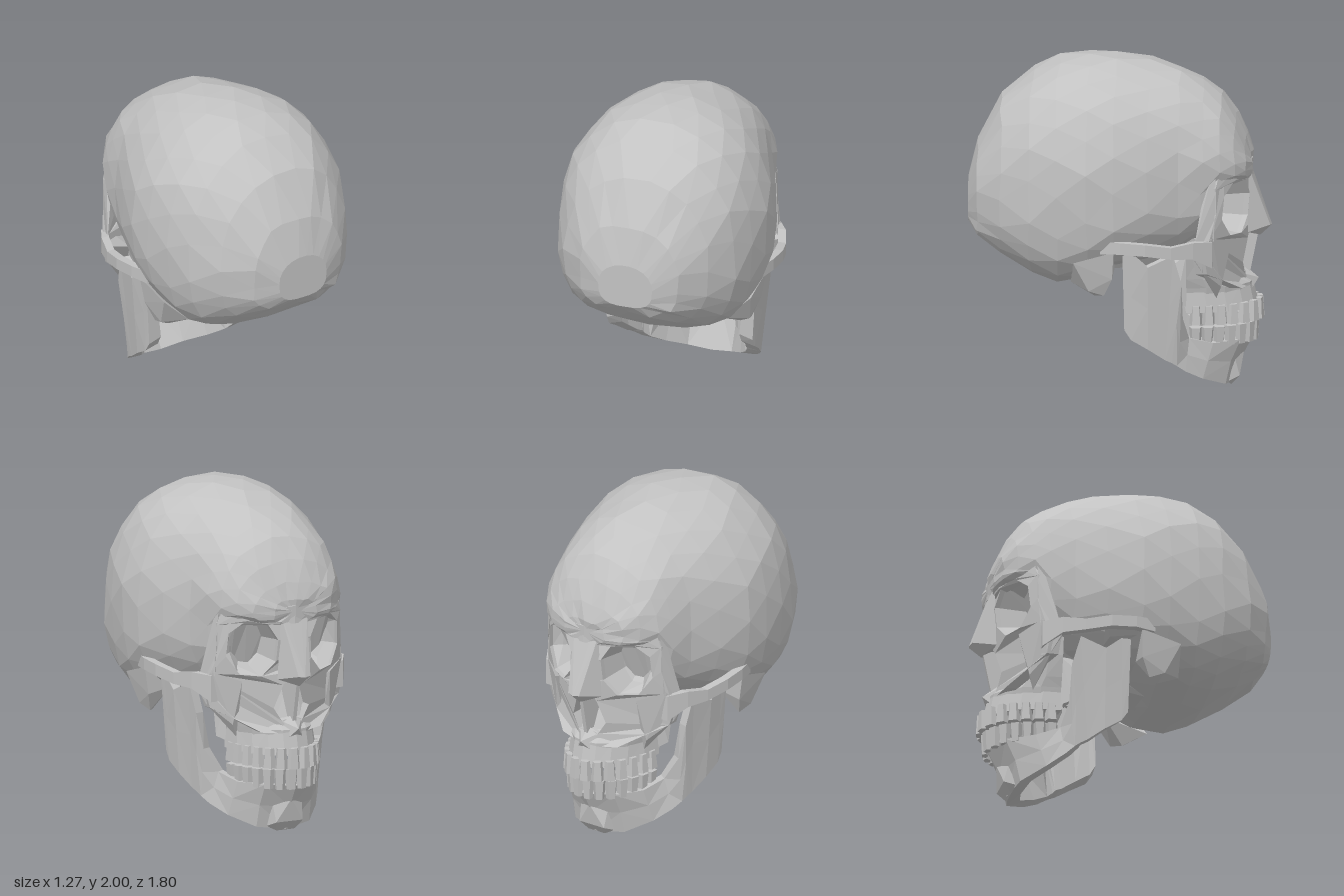
import * as THREE from 'three';
import { ConvexGeometry } from 'three/addons/geometries/ConvexGeometry.js';

const bone = new THREE.MeshStandardMaterial({ color: 0xc2c2c2, flatShading: true, side: THREE.DoubleSide });
bone.name = 'bone';

// Skin a list of equal-length rings of [x, y, z], with optional end caps
function loft(rings, capStart = true, capEnd = true) {
  const n = rings[0].length, pos = rings.flat(2), idx = [];
  for (let i = 0; i < rings.length - 1; i++) {
    for (let j = 0; j < n; j++) {
      const a = i * n + j, b = i * n + (j + 1) % n, c = a + n, d = b + n;
      if (i % 2) idx.push(a, c, d, a, d, b);
      else idx.push(a, c, b, b, c, d);
    }
  }
  const cap = (r, flip) => {
    const k = pos.length / 3;
    for (let q = 0; q < 3; q++) pos.push(rings[r].reduce((s, p) => s + p[q], 0) / n);
    for (let j = 0; j < n; j++) {
      const a = r * n + j, b = r * n + (j + 1) % n;
      idx.push(k, flip ? b : a, flip ? a : b);
    }
  };
  if (capStart) cap(0, false);
  if (capEnd) cap(rings.length - 1, true);
  const g = new THREE.BufferGeometry();
  g.setAttribute('position', new THREE.Float32BufferAttribute(pos, 3));
  g.setIndex(idx);
  const flat = g.toNonIndexed();
  flat.computeVertexNormals();
  return flat;
}

const hull = (pts) => new ConvexGeometry(pts.map((p) => new THREE.Vector3(...p)));
const mirrorLine = (half) => [...half, ...half.filter((p) => p[0] > 0).reverse().map(([x, ...r]) => [-x, ...r])];

function lerpTable(table, v) {
  if (v <= table[0][0]) return table[0][1];
  for (let i = 1; i < table.length; i++) {
    const [a, p] = table[i - 1], [b, q] = table[i];
    if (v <= b) return p + (q - p) * (v - a) / (b - a);
  }
  return table[table.length - 1][1];
}

// Front surface of the face, curving back towards the sides
const faceProfile = [[0.6, -0.78], [0.7, -0.74], [0.95, -0.77], [1.2, -0.785], [1.45, -0.765]];
const faceZ = (x, y) => lerpTable(faceProfile, y) + 1.12 * x * x;

const orbit = [[0.11, 1.18], [0.17, 1.28], [0.28, 1.3], [0.37, 1.22], [0.38, 1.08], [0.31, 0.97], [0.2, 0.96], [0.12, 1.05]];

function craniumGeometry() {
  let seed = 7;
  const rnd = () => ((seed = (seed * 16807) % 2147483647) / 2147483647 - 0.5) * 0.018;
  // z, half width, top, bottom, height of widest line
  const sections = [
    [0.9, 0.17, 1.26, 0.99, 1.12], [0.84, 0.315, 1.49, 0.92, 1.17], [0.7, 0.46, 1.74, 0.82, 1.2],
    [0.52, 0.56, 1.9, 0.71, 1.23], [0.36, 0.61, 1.97, 0.655, 1.26], [0.18, 0.635, 2.0, 0.68, 1.28],
    [0.02, 0.62, 1.995, 0.75, 1.28], [-0.18, 0.56, 1.965, 0.8, 1.3], [-0.36, 0.49, 1.91, 0.84, 1.33],
    [-0.5, 0.445, 1.84, 0.92, 1.36], [-0.6, 0.405, 1.765, 1.24, 1.37], [-0.69, 0.345, 1.64, 1.28, 1.37],
    [-0.75, 0.27, 1.52, 1.28, 1.36], [-0.782, 0.15, 1.42, 1.28, 1.35],
  ];
  const n = 22;
  return loft(sections.map(([z, w, top, bot, mid], i) => Array.from({ length: n }, (_, j) => {
    const a = ((j + (i % 2) * 0.5) / n) * Math.PI * 2, c = Math.cos(a), s = Math.sin(a);
    const e = s > 0 ? 2 / 2.15 : 2 / 3;
    const x = w * Math.sign(c) * Math.abs(c) ** e;
    const y = mid + (s > 0 ? top - mid : mid - bot) * Math.sign(s) * Math.abs(s) ** e;
    const edge = i === 0 ? 0 : 1;
    return [x + rnd() * edge, Math.min(2, y + rnd() * edge), z + rnd() * edge];
  })));
}

function faceGeometry() {
  const outline = mirrorLine([[0, 1.36], [0.2, 1.37], [0.36, 1.42], [0.42, 1.28], [0.42, 1.12], [0.45, 0.97],
    [0.47, 0.88], [0.44, 0.76], [0.33, 0.7], [0.2, 0.62], [0, 0.6]]);
  const nose = mirrorLine([[0, 0.98], [0.07, 0.9], [0.12, 0.76], [0.07, 0.68], [0, 0.7]]);
  const v = (pts) => pts.map((p) => new THREE.Vector2(...p));
  const shape = new THREE.Shape(v(outline));
  for (const hole of [orbit, orbit.map(([x, y]) => [-x, y]), nose]) shape.holes.push(new THREE.Path(v(hole)));
  const g = new THREE.ExtrudeGeometry(shape, { depth: 0.07, bevelEnabled: false });
  const p = g.attributes.position;
  for (let i = 0; i < p.count; i++) p.setZ(i, p.getZ(i) + faceZ(p.getX(i), p.getY(i)));
  g.computeVertexNormals();
  return g;
}

// Points on a horseshoe of half width w and depth d, from right to left
const horseshoe = (w, d, fn) => Array.from({ length: 11 }, (_, j) => {
  const t = (j / 10 - 0.5) * Math.PI;
  return fn(w * Math.sin(t), -0.4 - d * Math.cos(t), j);
});

function maxillaGeometry() {
  // y, half width, depth of the horseshoe
  const rows = [[0.585, 0.25, 0.39], [0.63, 0.26, 0.39], [0.69, 0.28, 0.31], [0.82, 0.31, 0.25], [0.95, 0.33, 0.2]];
  return loft(rows.map(([y, w, d]) => horseshoe(w, d, (x, z) => [x, y, z])));
}

function gumGeometry() {
  const inner = horseshoe(0.18, 0.33, (x, z) => [x, z]);
  return loft(horseshoe(0.265, 0.42, (x, z, j) => {
    const [xi, zi] = inner[j];
    return [[xi, 0.6, zi], [x * 0.96, 0.62, z + 0.03], [x, 0.48, z], [xi, 0.49, zi]];
  }));
}

function mandibleGeometry() {
  // Outer top edge and outer bottom edge, from jaw joint to chin
  const half = [
    [0.49, 0.88, -0.03, 0.46, 0.42, -0.04], [0.49, 0.89, -0.08, 0.46, 0.36, -0.08],
    [0.49, 0.81, -0.18, 0.45, 0.3, -0.18], [0.47, 0.88, -0.33, 0.42, 0.23, -0.28],
    [0.45, 0.7, -0.38, 0.41, 0.21, -0.32], [0.4, 0.48, -0.385, 0.4, 0.19, -0.35], [0.32, 0.34, -0.42, 0.37, 0.15, -0.4],
    [0.27, 0.3, -0.56, 0.3, 0.09, -0.5], [0.17, 0.3, -0.72, 0.18, 0.03, -0.63],
    [0, 0.29, -0.79, 0, 0.005, -0.67],
  ];
  const path = [...half, ...half.slice(0, -1).reverse().map(([a, b, c, d, e, f]) => [-a, b, c, -d, e, f])];
  return loft(path.map((s, i) => {
    const a = path[Math.max(0, i - 1)], b = path[Math.min(path.length - 1, i + 1)];
    const dx = b[3] - a[3], dz = b[5] - a[5], k = 0.06 / Math.hypot(dx, dz);
    const nx = dz * k, nz = -dx * k, [xt, yt, zt, xb, yb, zb] = s;
    const mid = [(xt + xb) / 2, (yt + yb) / 2, (zt + zb) / 2 + (Math.abs(xt) < 0.2 ? 0.015 : 0)];
    return [[xt, yt, zt], [xt + nx, yt, zt + nz], [xb + nx * 1.4, yb + 0.025, zb + nz * 1.4], [xb, yb, zb], mid];
  }));
}

export function createModel() {
  const model = new THREE.Group();
  model.name = 'skull';
  const add = (name, geo, parent = model) => {
    const m = new THREE.Mesh(geo, bone);
    m.name = name;
    parent.add(m);
    return m;
  };
  const pair = (name, geo) => {
    add('left' + name, geo);
    add('right' + name, geo).scale.x = -1;
  };

  add('cranium', craniumGeometry());
  add('facePlate', faceGeometry());
  add('maxilla', maxillaGeometry());
  add('upperGum', gumGeometry());
  add('mandible', mandibleGeometry());

  // Eye sockets narrowing towards the back
  pair('EyeSocket', loft([
    orbit.map(([x, y]) => [x, y, faceZ(x, y) + 0.03]),
    orbit.map(([x, y]) => [0.22 + (x - 0.24) * 0.75, 1.12 + (y - 1.12) * 0.8, -0.56]),
    orbit.map(([x, y]) => [0.18 + (x - 0.24) * 0.3, 1.11 + (y - 1.12) * 0.35, -0.46]),
  ], false, true));

  // Nose: wall between the sockets, nasal bones, septum and spine
  add('socketDivider', hull([-0.1, 0.1].flatMap((x) => [[x, 0.95, -0.69], [x, 1.32, -0.72], [x, 0.92, -0.42], [x, 1.3, -0.42]])));
  add('nasalBones', hull([[0.09, 1.33, -0.765], [-0.09, 1.33, -0.765], [0.04, 1.28, -0.785], [-0.04, 1.28, -0.785], [0, 1.12, -0.8],
    [0.04, 0.97, -0.89], [-0.04, 0.97, -0.89], [0, 0.965, -0.9], [0.11, 0.94, -0.76], [-0.11, 0.94, -0.76], [0, 0.9, -0.83]]));
  add('nasalSeptum', hull([-0.012, 0.012].flatMap((x) => [[x, 0.93, -0.82], [x, 0.68, -0.77], [x, 0.95, -0.6], [x, 0.66, -0.6]])));
  add('nasalSpine', hull([[0, 0.64, -0.82], [0.07, 0.68, -0.73], [-0.07, 0.68, -0.73], [0, 0.71, -0.74], [0.05, 0.58, -0.78], [-0.05, 0.58, -0.78]]));

  // Brow ridge, cheekbone and the rim climbing to the temple
  pair('BrowRidge', hull([[0, 1.26, -0.785], [0, 1.38, -0.787], [0.14, 1.37, -0.775], [0.28, 1.38, -0.7], [0.28, 1.3, -0.7],
    [0.17, 1.28, -0.755], [0.42, 1.27, -0.585], [0.38, 1.42, -0.6], [0.2, 1.35, -0.66]]));
  pair('Cheekbone', hull([[0.47, 0.93, -0.5], [0.44, 0.98, -0.56], [0.3, 0.93, -0.67], [0.45, 0.78, -0.5],
    [0.33, 0.66, -0.61], [0.29, 0.58, -0.58], [0.5, 0.92, -0.42], [0.31, 0.85, -0.46]]));
  pair('TempleRim', hull([[0.43, 0.96, -0.57], [0.47, 0.96, -0.46], [0.42, 1.25, -0.58], [0.4, 1.46, -0.58], [0.42, 1.2, -0.5], [0.37, 1.1, -0.52]]));

  // Cheek arch standing clear of the temple: x, y, z, half height
  const arch = [[0.57, 0.95, 0.1, 0.04], [0.6, 0.95, -0.02, 0.035], [0.605, 0.94, -0.17, 0.035],
    [0.57, 0.915, -0.32, 0.035], [0.52, 0.92, -0.45, 0.05], [0.45, 0.88, -0.56, 0.08]];
  pair('CheekArch', loft(arch.map(([x, y, z, h]) => [[x, y + h, z], [x - 0.05, y + h, z], [x - 0.05, y - h, z], [x, y - h, z]])));

  // Underside: ear bumps, joint seats, central base and palate wings
  pair('MastoidProcess', hull([[0.5, 0.64, 0.08], [0.45, 0.63, 0.14], [0.52, 0.67, 0.17], [0.57, 0.92, 0.02], [0.56, 0.85, 0.26],
    [0.4, 0.78, 0.02], [0.4, 0.7, 0.28], [0.54, 0.75, 0.03]]));
  pair('JointSeat', hull([[0.57, 0.95, 0.02], [0.57, 0.95, -0.2], [0.4, 0.86, 0.0], [0.4, 0.86, -0.18], [0.5, 0.88, -0.16], [0.52, 0.9, 0.0]]));
  add('skullBase', hull([-1, 1].flatMap((s) => [[s * 0.1, 0.7, 0.16], [s * 0.12, 0.77, -0.05], [s * 0.16, 0.76, -0.38],
    [s * 0.3, 0.95, -0.48], [s * 0.22, 0.9, 0.1]])));
  pair('PalateWing', hull([[0.2, 0.85, -0.28], [0.24, 0.84, -0.4], [0.26, 0.52, -0.4], [0.29, 0.54, -0.34], [0.19, 0.53, -0.37], [0.27, 0.72, -0.27]]));
  add('chin', hull([[0.12, 0.03, -0.64], [-0.12, 0.03, -0.64], [0.06, 0, -0.66], [-0.06, 0, -0.66], [0.09, 0.06, -0.71], [-0.09, 0.06, -0.71],
    [0, 0.2, -0.735], [0.1, 0.18, -0.68], [-0.1, 0.18, -0.68]]));

  // Two rows of teeth, evenly spaced along a horseshoe curve
  const row = (name, y, w, d, up) => {
    const g = new THREE.Group();
    g.name = name;
    model.add(g);
    const curve = new THREE.CatmullRomCurve3(horseshoe(w, d, (x, z) => new THREE.Vector3(x, y, z - 0.02)));
    for (let i = 0; i < 14; i++) {
      const u = (i + 0.5) / 14, front = 1 - Math.abs(u - 0.5) * 2;
      const geo = new THREE.CylinderGeometry(up ? 0.03 : 0.042, up ? 0.042 : 0.03, 0.11 + 0.015 * front, 5);
      geo.scale(1, 1, 1.15 - 0.5 * front);
      const tooth = add('tooth', geo, g);
      tooth.position.copy(curve.getPointAt(u));
      const dir = curve.getTangentAt(u);
      tooth.rotation.y = Math.atan2(-dir.z, dir.x);
    }
  };
  row('upperTeeth', 0.465, 0.245, 0.41, true);
  row('lowerTeeth', 0.335, 0.24, 0.38, false);
  return model;
}
